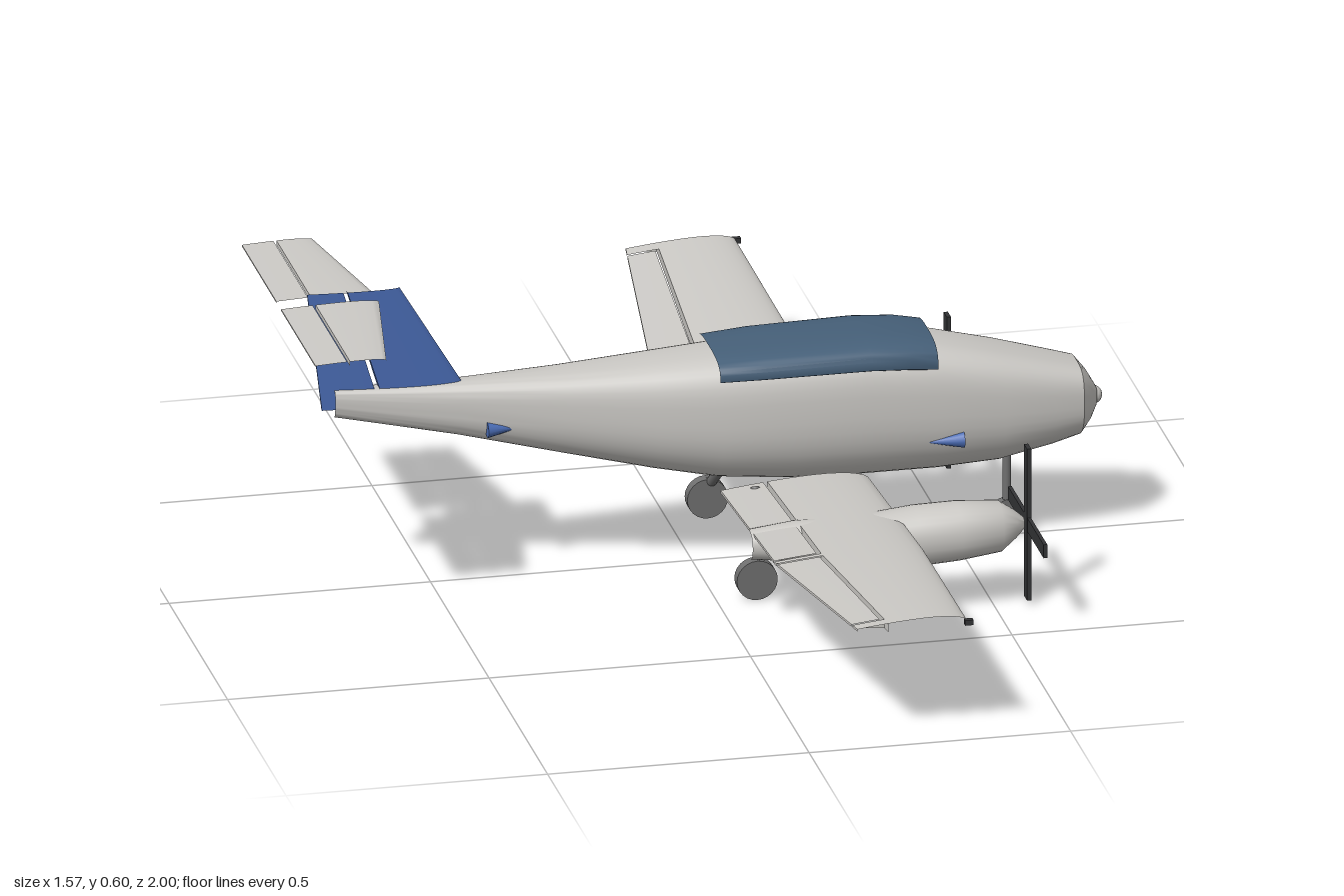
import * as THREE from 'three';
import { toCreasedNormals } from 'three/addons/utils/BufferGeometryUtils.js';

const material = (name, color) => {
  const m = new THREE.MeshStandardMaterial({ color });
  m.name = name;
  return m;
};
const lerp = THREE.MathUtils.lerp;

// Closed skin through rings of [x, y, z] points, capped at both ends and wound outward
function loft(rings, crease = 0.6) {
  const n = rings[0].length, pts = rings.flat(), idx = [];
  for (let i = 0; i < rings.length - 1; i++) {
    for (let j = 0; j < n; j++) {
      const a = i * n + j, b = i * n + (j + 1) % n;
      idx.push(a, a + n, b, b, a + n, b + n);
    }
  }
  [0, rings.length - 1].forEach((r, end) => {
    const mid = [0, 1, 2].map(k => rings[r].reduce((s, p) => s + p[k], 0) / n);
    const c = pts.push(mid) - 1;
    for (let j = 0; j < n; j++) {
      const a = r * n + j, b = r * n + (j + 1) % n;
      if (end) idx.push(c, a, b); else idx.push(c, b, a);
    }
  });
  let volume = 0;
  const v = k => new THREE.Vector3(...pts[idx[k]]);
  for (let k = 0; k < idx.length; k += 3) volume += v(k).dot(v(k + 1).cross(v(k + 2)));
  if (volume < 0) idx.reverse();
  const g = new THREE.BufferGeometry();
  g.setAttribute('position', new THREE.Float32BufferAttribute(pts.flat(), 3));
  g.setIndex(idx);
  return toCreasedNormals(g, crease);
}

// Body section: widest at yc, squarish (power n) above and m below
function bodyRing([x, yb, yc, yt, hw], n, m, z0 = 0, count = 40) {
  return Array.from({ length: count }, (_, i) => {
    const t = i / count * Math.PI * 2, c = Math.cos(t), s = Math.sin(t), e = 2 / (s > 0 ? n : m);
    const h = s > 0 ? yt - yc : yc - yb;
    return [x, yc + h * Math.sign(s) * Math.abs(s) ** e, z0 + hw * Math.sign(c) * Math.abs(c) ** e];
  });
}

// Slice of an aerofoil: sections are [span, xFrom, xTo, trailing, leading, thickness]
function foil(sections, place) {
  const steps = 10;
  return loft(sections.map(([s, xa, xb, te, le, th]) => {
    const upper = [], lower = [];
    for (let i = 0; i <= steps; i++) {
      const x = lerp(xa, xb, Math.sin(i / steps * Math.PI / 2));
      const d = THREE.MathUtils.clamp((le - x) / (le - te), 0, 1);
      const h = th * (1.48 * Math.sqrt(d) - 0.63 * d - 1.76 * d * d + 1.42 * d ** 3 - 0.47 * d ** 4) + 0.0012;
      upper.push(place(x, h, s));
      lower.unshift(place(x, -h, s));
    }
    return [...upper, ...lower];
  }), 0.7);
}

export function createModel() {
  const model = new THREE.Group();
  model.name = 'airplane';
  const paint = material('light grey paint', 0xcccac6);
  const blue = material('blue paint', 0x4a6cb4);
  const glass = material('canopy glass', 0x466079);
  const black = material('propeller black', 0x333436);
  const metal = material('gear grey', 0x707070);
  const add = (name, geometry, mat, x = 0, y = 0, z = 0) => {
    const mesh = new THREE.Mesh(geometry, mat);
    mesh.name = name;
    mesh.position.set(x, y, z);
    model.add(mesh);
    return mesh;
  };
  const rod = (name, from, to, r) => {
    const a = new THREE.Vector3(...from), d = new THREE.Vector3(...to).sub(a);
    const mesh = add(name, new THREE.CylinderGeometry(r, r, d.length(), 12), metal);
    mesh.position.copy(a).addScaledVector(d, 0.5);
    mesh.quaternion.setFromUnitVectors(new THREE.Vector3(0, 1, 0), d.normalize());
  };
  const wheel = (name, r, w, x, y, z) =>
    add(name, new THREE.CylinderGeometry(r, r, w, 24).rotateX(Math.PI / 2), metal, x, y, z);

  // Fuselage: [x, bottom, widest height, top, half width]
  add('fuselage', loft([
    [-0.685, 0.35, 0.38, 0.405, 0.014], [-0.45, 0.297, 0.35, 0.403, 0.036],
    [-0.25, 0.245, 0.33, 0.408, 0.063], [-0.08, 0.202, 0.31, 0.417, 0.086],
    [0.04, 0.176, 0.3, 0.424, 0.099], [0.18, 0.162, 0.3, 0.428, 0.106],
    [0.32, 0.158, 0.3, 0.428, 0.107], [0.46, 0.158, 0.29, 0.414, 0.104],
    [0.58, 0.164, 0.28, 0.385, 0.095], [0.68, 0.185, 0.275, 0.357, 0.082],
    [0.735, 0.2, 0.272, 0.342, 0.07], [0.755, 0.225, 0.27, 0.317, 0.048],
    [0.77, 0.25, 0.27, 0.29, 0.021],
  ].map(s => bodyRing(s, 3.4, 2.2))), paint);
  add('noseTip', new THREE.SphereGeometry(0.018, 16, 10), paint, 0.766, 0.27, 0);

  // Canopy over the cabin roof
  add('canopy', loft([
    [0.032, 0.392, 0.397, 0.431, 0.1], [0.12, 0.393, 0.4, 0.437, 0.107],
    [0.32, 0.393, 0.4, 0.443, 0.107], [0.40, 0.387, 0.395, 0.439, 0.103],
    [0.45, 0.38, 0.388, 0.431, 0.095],
  ].map(s => bodyRing(s, 3, 6))), glass);

  // Fin and rudder, with a slot between them
  const upright = (x, h, s) => [x, s, h];
  add('fin', foil([[0.385, -0.594, -0.431, -0.71, -0.431, 0.026], [0.6, -0.66, -0.56, -0.736, -0.56, 0.016]], upright), blue);
  add('rudder', foil([[0.365, -0.708, -0.598, -0.708, -0.42, 0.026], [0.6, -0.736, -0.668, -0.736, -0.56, 0.016]], upright), blue);

  // Wing outline and hinge line at span z
  const outer = z => Math.max(0, (z - 0.54) / 0.45);
  const trailing = z => lerp(0.038, 0.095, outer(z));
  const leading = z => lerp(0.322, 0.305, outer(z));
  const hinge = z => lerp(0.123, 0.15, outer(z));
  const thick = z => lerp(0.038, 0.026, z);
  const gap = 0.004;

  for (const side of [1, -1]) {
    const tag = side > 0 ? 'left' : 'right';
    const wingPlace = (x, h, z) => [x, 0.168 + 0.068 * (z - 0.1) / 0.89 + h, side * z];
    const wingPart = (name, z0, z1, from, to) => {
      const spans = z0 < 0.54 && z1 > 0.54 ? [z0, 0.54, z1] : [z0, z1];
      add(tag + name, foil(spans.map(z => [z, from(z), to(z), trailing(z), leading(z), thick(z)]), wingPlace), paint);
    };
    const hingeRear = z => hinge(z) - gap, hingeFront = z => hinge(z) + gap;
    wingPart('WingMain', 0.075, 0.99, hingeFront, leading);
    wingPart('Flap', 0.075, 0.532, trailing, hingeRear);
    wingPart('FlapRib', 0.536, 0.55, trailing, hingeFront);
    wingPart('Aileron', 0.554, 0.958, trailing, hingeRear);
    wingPart('WingTip', 0.962, 0.99, trailing, hingeFront);
    add(tag + 'WingTipLight', new THREE.BoxGeometry(0.016, 0.01, 0.012), black, 0.307, 0.236, side * 0.992);

    // Tailplane and elevator
    const tailPlace = (x, h, z) => [x, 0.581 + h, side * z];
    add(tag + 'Tailplane', foil([[0.02, -0.724, -0.603, -0.79, -0.603, 0.01], [0.315, -0.724, -0.655, -0.79, -0.655, 0.008]], tailPlace), paint);
    add(tag + 'Elevator', foil([[0.02, -0.79, -0.73, -0.79, -0.603, 0.01], [0.315, -0.79, -0.73, -0.79, -0.655, 0.008]], tailPlace), paint);

    // Engine nacelle
    const ez = side * 0.343;
    add(tag + 'Nacelle', loft([
      [0.033, 0.137, 0.165, 0.192, 0.029], [0.12, 0.126, 0.165, 0.202, 0.038],
      [0.24, 0.109, 0.16, 0.2, 0.05], [0.35, 0.098, 0.157, 0.212, 0.057],
      [0.43, 0.103, 0.158, 0.214, 0.055], [0.51, 0.113, 0.16, 0.209, 0.047],
      [0.54, 0.136, 0.162, 0.189, 0.027], [0.557, 0.152, 0.163, 0.174, 0.011],
    ].map(s => bodyRing(s, 2.2, 2.2, ez, 28)), 0.8), paint);

    // Four-blade propeller
    add(tag + 'PropellerVertical', new THREE.BoxGeometry(0.008, 0.304, 0.027), black, 0.565, 0.163, ez);
    add(tag + 'PropellerHorizontal', new THREE.BoxGeometry(0.007, 0.027, 0.304), black, 0.565, 0.163, ez);

    // Main landing gear
    rod(tag + 'MainStrut', [0.1, 0.175, side * 0.095], [0.083, 0.075, side * 0.205], 0.01);
    rod(tag + 'MainFork', [0.083, 0.08, side * 0.21], [0.075, 0.042, side * 0.21], 0.009);
    wheel(tag + 'MainWheel', 0.039, 0.023, 0.075, 0.042, side * 0.212);

    // Small blue scoops on the fuselage sides
    add(tag + 'FrontScoop', new THREE.ConeGeometry(0.016, 0.076, 16).rotateZ(Math.PI / 2), blue, 0.46, 0.24, side * 0.096);
    add(tag + 'RearScoop', new THREE.ConeGeometry(0.015, 0.062, 16).rotateZ(-Math.PI / 2), blue, -0.37, 0.315, side * 0.042);
  }

  // Nose landing gear
  rod('noseStrut', [0.602, 0.185, 0], [0.602, 0.04, 0], 0.008);
  wheel('noseWheel', 0.034, 0.018, 0.604, 0.042, 0);

  return model;
}
